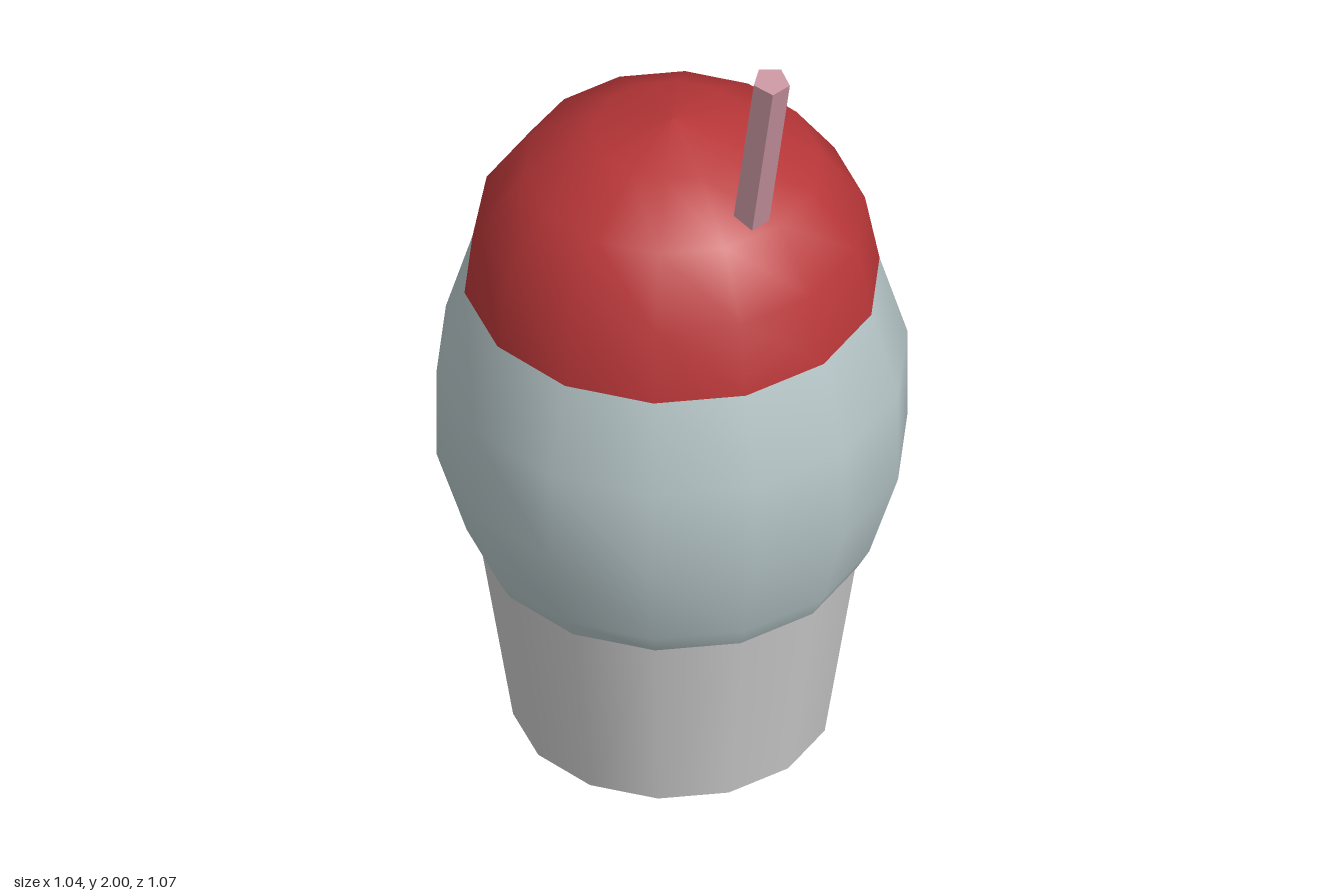
import * as THREE from 'three';

const SIDES = 14;

function addMesh(group, name, geometry, color, flatShading = false) {
  const mesh = new THREE.Mesh(geometry, new THREE.MeshStandardMaterial({ color, flatShading }));
  mesh.name = name;
  group.add(mesh);
  return mesh;
}

// Smooth surface of revolution from [radius, height] pairs, bottom to top
const lathe = (profile) =>
  new THREE.LatheGeometry(profile.map(([r, y]) => new THREE.Vector2(r, y)), SIDES);

export function createModel() {
  const model = new THREE.Group();
  model.name = 'frozenDrink';

  // Tapered cup with a flat base
  const cup = addMesh(model, 'cup', new THREE.CylinderGeometry(0.432, 0.36, 0.48, SIDES), 0xcccccc);
  cup.position.y = 0.24;

  // Pale rounded lower scoop
  addMesh(model, 'lowerScoop', lathe([
    [0.435, 0.48], [0.465, 0.535], [0.533, 0.757], [0.533, 0.995], [0.47, 1.21],
  ]), 0xb8c8ca);

  // Red syrup dome
  addMesh(model, 'syrupDome', lathe([
    [0.47, 1.21], [0.437, 1.385], [0.335, 1.53], [0.18, 1.622], [0, 1.655],
  ]), 0xb83638);

  // Five-sided straw leaning out of the dome
  const top = new THREE.Vector3(0.342, 1.992, 0.139);
  const bottom = new THREE.Vector3(0.25, 1.48, 0.089);
  const axis = top.clone().sub(bottom);
  const strawGeometry = new THREE.CylinderGeometry(0.043, 0.043, axis.length(), 5);
  strawGeometry.rotateY(Math.PI);
  const straw = addMesh(model, 'straw', strawGeometry, 0xc8949f, true);
  straw.position.copy(bottom).add(top).multiplyScalar(0.5);
  straw.quaternion.setFromUnitVectors(new THREE.Vector3(0, 1, 0), axis.normalize());

  return model;
}
